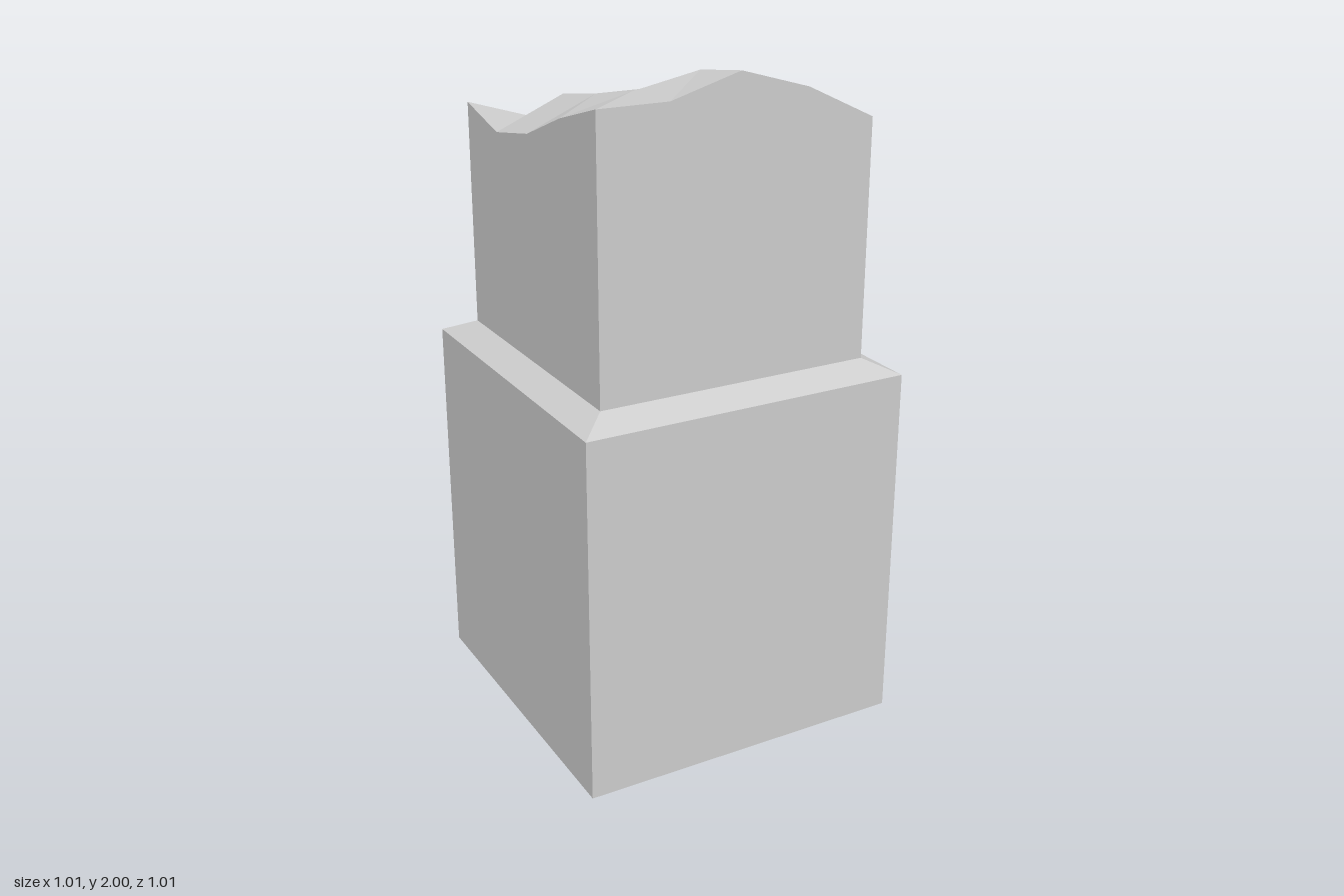
import * as THREE from 'three';

const BASE = 0.505, COL = 0.42, BASE_TOP = 1.1, COL_BOTTOM = 1.14, N = 5;

// Heights of the broken top: rows from back to front, columns from x- to x+
const HEIGHTS = [
  [1.815, 1.75, 1.75, 1.625, 1.515],
  [1.765, 1.855, 1.825, 1.79, 1.615],
  [1.80, 1.89, 1.89, 1.83, 1.745],
  [1.88, 1.93, 1.97, 1.89, 1.77],
  [1.94, 1.94, 2.0, 1.94, 1.84],
];

const at = (i) => -COL + (2 * COL * i) / (N - 1);
const topPoint = (r, c) => [at(c), HEIGHTS[r][c], at(r)];

function meshFromTriangles(name, triangles, material) {
  const geometry = new THREE.BufferGeometry();
  geometry.setAttribute('position', new THREE.Float32BufferAttribute(triangles.flat(2), 3));
  geometry.computeVertexNormals();
  const mesh = new THREE.Mesh(geometry, material);
  mesh.name = name;
  return mesh;
}

// Joins two closed loops of equal length, lower to upper
function wall(lower, upper) {
  const triangles = [];
  lower.forEach((a, i) => {
    const j = (i + 1) % lower.length;
    triangles.push([a, lower[j], upper[j]], [a, upper[j], upper[i]]);
  });
  return triangles;
}

// Square loop, counterclockwise seen from above
const square = (h, y) => [[-h, y, h], [h, y, h], [h, y, -h], [-h, y, -h]];

export function createModel() {
  const group = new THREE.Group();
  group.name = 'brokenPillar';
  const stone = new THREE.MeshStandardMaterial({ color: 0xcccccc, side: THREE.DoubleSide, flatShading: true });
  stone.name = 'paleStone';

  // Pedestal, open underneath, and its sloping ledge
  group.add(meshFromTriangles('pedestal', wall(square(BASE, 0), square(BASE, BASE_TOP)), stone));
  group.add(meshFromTriangles('ledge', wall(square(BASE, BASE_TOP), square(COL, COL_BOTTOM)), stone));

  // Column walls follow the rim of the broken top
  const rim = [];
  const last = N - 1;
  for (let i = 0; i < last; i++) rim.push(topPoint(last, i));
  for (let i = last; i > 0; i--) rim.push(topPoint(i, last));
  for (let i = last; i > 0; i--) rim.push(topPoint(0, i));
  for (let i = 0; i < last; i++) rim.push(topPoint(i, 0));
  const foot = rim.map(([x, , z]) => [x, COL_BOTTOM, z]);
  group.add(meshFromTriangles('columnWalls', wall(foot, rim), stone));

  // Broken top, with the cell diagonals mirrored about the middle
  const triangles = [];
  for (let r = 0; r < last; r++) {
    for (let c = 0; c < last; c++) {
      const a = topPoint(r, c), b = topPoint(r, c + 1);
      const d = topPoint(r + 1, c), e = topPoint(r + 1, c + 1);
      if (c < last / 2) triangles.push([a, d, b], [b, d, e]);
      else triangles.push([a, d, e], [a, e, b]);
    }
  }
  group.add(meshFromTriangles('brokenTop', triangles, stone));
  return group;
}
